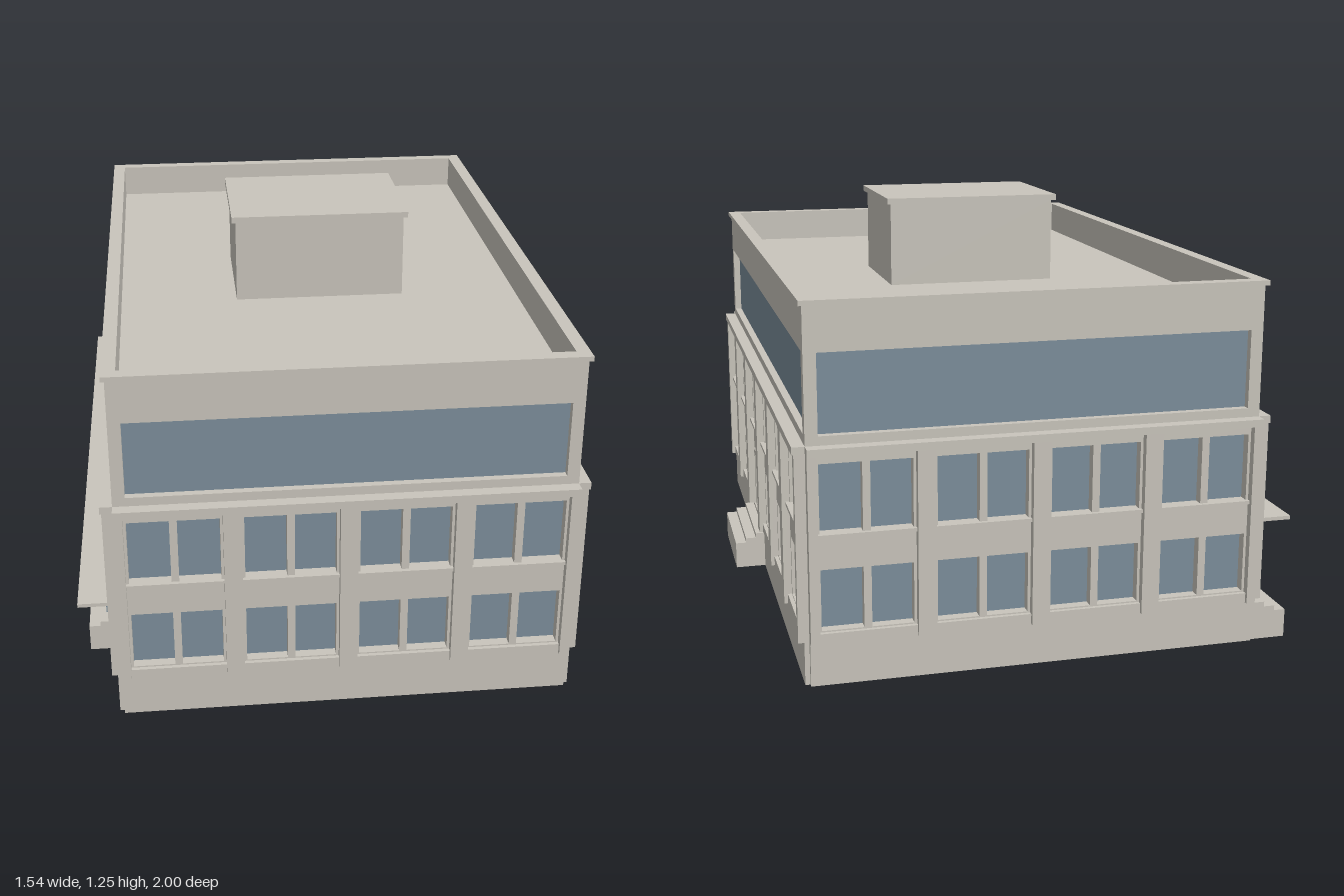
import * as THREE from 'three';

const stone = new THREE.MeshStandardMaterial({ color: 0xc9c5bc });
stone.name = 'stone';
const glass = new THREE.MeshStandardMaterial({ color: 0x7c8e9b });
glass.name = 'glass';

const HX = 0.655, HZ = 0.965, T = 0.03; // half width, half length, wall thickness

// Box given by its limits on each axis
function box(parent, name, mat, x0, x1, y0, y1, z0, z1) {
  const mesh = new THREE.Mesh(new THREE.BoxGeometry(x1 - x0, y1 - y0, z1 - z0), mat);
  mesh.position.set((x0 + x1) / 2, (y0 + y1) / 2, (z0 + z1) / 2);
  mesh.name = name;
  parent.add(mesh);
}

function rectangle(path, x0, x1, y0, y1) {
  path.moveTo(x0, y0);
  path.lineTo(x1, y0);
  path.lineTo(x1, y1);
  path.lineTo(x0, y1);
  path.closePath();
  return path;
}

// Wall slab with rectangular openings, from z0 to z1
function wall(parent, name, half, y0, y1, z0, z1, openings) {
  const shape = rectangle(new THREE.Shape(), -half, half, y0, y1);
  openings.forEach((o) => shape.holes.push(rectangle(new THREE.Path(), ...o)));
  const geo = new THREE.ExtrudeGeometry(shape, { depth: z1 - z0, bevelEnabled: false });
  geo.translate(0, 0, z0);
  const mesh = new THREE.Mesh(geo, stone);
  mesh.name = name;
  parent.add(mesh);
}

// Three shallow steps in front of a door
function stoop(parent, cx) {
  [[0.115, 0.043], [0.1, 0.076], [0.085, 0.11]].forEach(([h, out]) =>
    box(parent, 'step', stone, cx - 0.167, cx + 0.167, 0, h, 0, out));
}

// One side of the building; z = 0 is the core wall face, +z points outward
function facade(name, half, bays, paneWidth, doors = [], shopfront = false) {
  const g = new THREE.Group();
  g.name = name;
  const bay = (2 * half) / bays;
  const pil = 0.026;
  const panes = [], doorways = [];

  for (let i = 0; i < bays; i++) {
    const cx = -half + bay * (i + 0.5);
    const a = cx - bay / 2 + pil, b = cx + bay / 2 - pil;
    const pair = (y0, y1) => [-1, 1].forEach((s) => {
      const c = cx + s * (paneWidth / 2 + 0.011);
      panes.push([c - paneWidth / 2, c + paneWidth / 2, y0, y1]);
    });
    pair(0.438, 0.635);
    box(g, 'upperSill', stone, a, b, 0.428, 0.438, 0, 0.02);

    if (doors.includes(i)) {
      doorways.push([cx - 0.117, cx + 0.117, 0.127, 0.335]);
      box(g, 'doorLintel', stone, cx - 0.117, cx + 0.117, 0.318, 0.333, -0.025, 0.012);
      stoop(g, cx);
    } else {
      if (shopfront) panes.push([cx - 0.117, cx + 0.117, 0.16, 0.325]);
      else pair(0.158, 0.335);
      box(g, 'lowerSill', stone, a, b, 0.126, 0.154, 0, 0.02);
    }
    if (shopfront) box(g, 'transomGlass', glass, a, b, 0.327, 0.364, 0.03, 0.036);
  }

  // Projecting base, windowed storeys and upper storey
  wall(g, 'baseWall', half, 0, 0.125, -T, 0.014, []);
  wall(g, 'lowerWall', half, 0.125, 0.665, -T, 0.008, [...panes, ...doorways]);
  const strip = [-half + 0.036, half - 0.036, 0.71, 0.938];
  wall(g, 'upperWall', half, 0.665, 1.066, -T, 0, [strip]);
  [...panes, strip].forEach(([x0, x1, y0, y1]) =>
    box(g, 'windowGlass', glass, x0, x1, y0, y1, -0.027, -0.022));

  // Pilasters, halved at the corners
  for (let i = 0; i <= bays; i++) {
    const x = -half + bay * i;
    box(g, 'pilaster', stone, Math.max(x - pil, -half), Math.min(x + pil, half), 0.125, 0.662, 0, 0.031);
  }

  // Ledge above the windowed storeys
  box(g, 'ledge', stone, -half, half, 0.662, 0.684, 0, 0.036);
  return g;
}

export function createModel() {
  const model = new THREE.Group();
  model.name = 'building';
  const body = new THREE.Group();
  body.name = 'body';
  body.position.x = 0.003;
  model.add(body);

  const front = facade('frontFacade', HX, 4, 0.119);
  front.position.z = HZ;
  const back = facade('backFacade', HX, 4, 0.119);
  back.position.z = -HZ;
  back.rotation.y = Math.PI;
  const right = facade('entranceFacade', HZ, 6, 0.114, [2]);
  right.position.x = HX;
  right.rotation.y = Math.PI / 2;
  const left = facade('shopFacade', HZ, 6, 0.114, [0, 2, 4], true);
  left.position.x = -HX;
  left.rotation.y = -Math.PI / 2;
  box(left, 'canopy', stone, -HZ, HZ, 0.364, 0.375, 0, 0.115);
  body.add(front, back, right, left);

  // Sunken roof and parapet coping
  box(body, 'roof', stone, -HX + 0.01, HX - 0.01, 0.955, 0.975, -HZ + 0.01, HZ - 0.01);
  const ox = HX + 0.01, oz = HZ + 0.01, ix = HX - T, iz = HZ - T;
  for (const s of [-1, 1]) {
    box(body, 'coping', stone, -ox, ox, 1.066, 1.08, s > 0 ? iz : -oz, s > 0 ? oz : -iz);
    box(body, 'coping', stone, s > 0 ? ix : -ox, s > 0 ? ox : -ix, 1.066, 1.08, -iz, iz);
  }

  // Rooftop plant room
  box(body, 'plantRoom', stone, -0.263, 0.263, 0.975, 1.232, -0.2, 0.197);
  box(body, 'plantRoomRoof', stone, -0.275, 0.275, 1.232, 1.25, -0.211, 0.208);
  return model;
}
